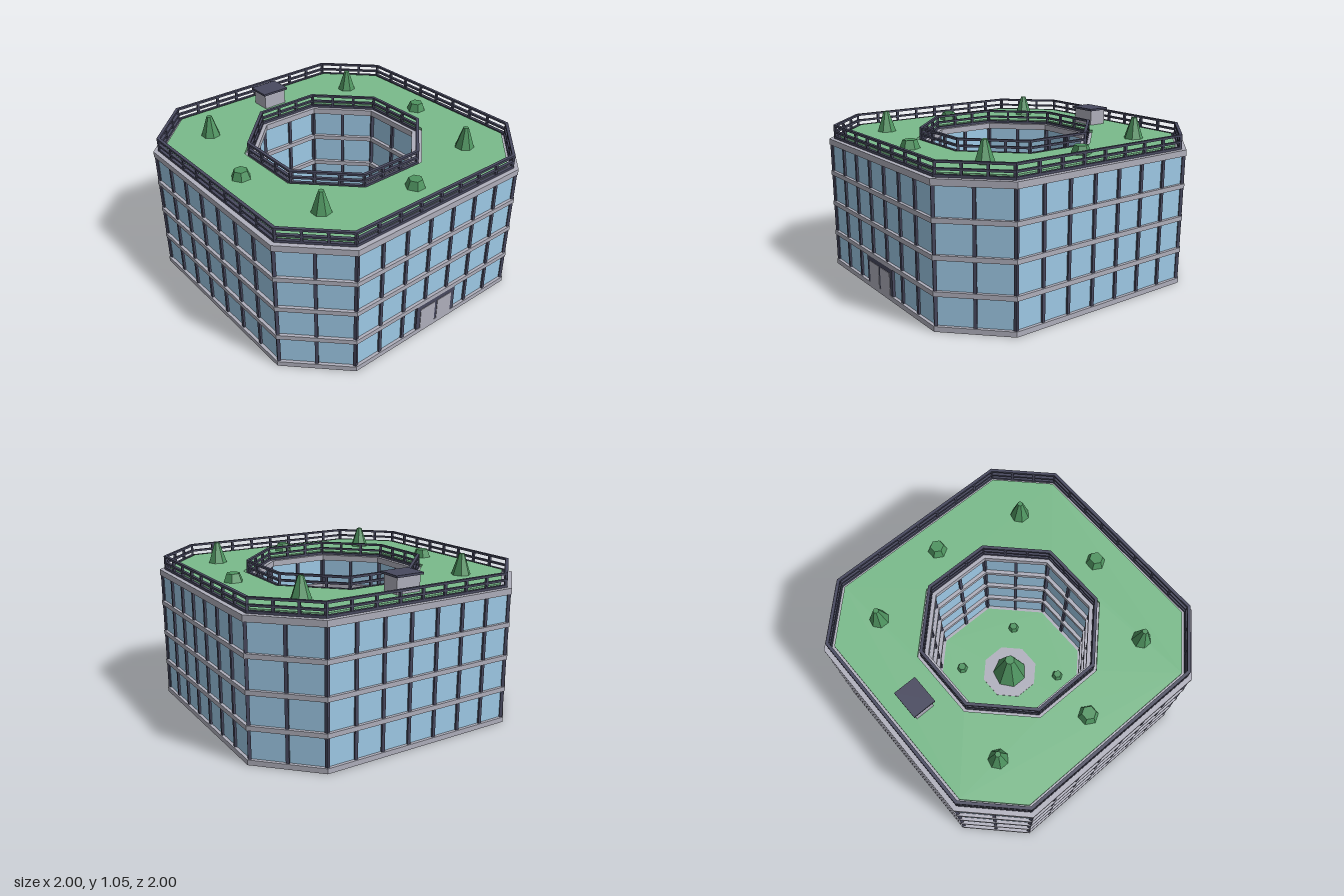
import * as THREE from 'three';
import { mergeGeometries } from 'three/addons/utils/BufferGeometryUtils.js';

const T = Math.tan(Math.PI / 8);
const mat = (name, color, flat = false) => {
  const m = new THREE.MeshStandardMaterial({ color, flatShading: flat });
  m.name = name;
  return m;
};

// Counter-clockwise octagon corners [x, z] for an apothem and half length of the straight sides
const octagon = (a, c) => [[-c, a], [-a, c], [-a, -c], [-c, -a], [c, -a], [a, -c], [a, c], [c, a]];
const outer = (inset) => octagon(1 - inset, 0.665 - inset * T);
const inner = (a) => octagon(a, a * T);
const toVectors = (pts) => pts.map(([x, z]) => new THREE.Vector2(x, z));

// Octagonal slab, or ring when a hole is given, between two heights
function slab(edge, hole, y0, y1) {
  const shape = new THREE.Shape(toVectors(edge));
  if (hole) shape.holes.push(new THREE.Path(toVectors(hole)));
  const g = new THREE.ExtrudeGeometry(shape, { depth: y1 - y0, bevelEnabled: false });
  return g.rotateX(-Math.PI / 2).translate(0, y0, 0);
}

// Upright bars along the sides of an octagon; those on corners face along the bisector
function uprights(pts, counts, y0, y1, width) {
  const bars = [];
  pts.forEach(([x0, z0], k) => {
    const [x1, z1] = pts[(k + 1) % pts.length];
    const n = counts[k % 2];
    for (let i = 0; i < n; i++) {
      const t = i / n;
      const turn = -Math.atan2(z1 - z0, x1 - x0) - (i === 0 ? Math.PI / 8 : 0);
      bars.push(new THREE.BoxGeometry(width, y1 - y0, width)
        .rotateY(turn)
        .translate(x0 + (x1 - x0) * t, (y0 + y1) / 2, z0 + (z1 - z0) * t));
    }
  });
  return mergeGeometries(bars);
}

export function createModel() {
  const model = new THREE.Group();
  model.name = 'officeBuilding';
  const concrete = mat('concrete', 0xb0b0bd);
  const frame = mat('darkFrame', 0x48495f);
  const glass = mat('glass', 0x9fcbe8);
  const grass = mat('grass', 0x7abb8b);
  const leaves = mat('leaves', 0x4f9460, true);

  const add = (name, geometry, material, x = 0, y = 0, z = 0) => {
    const m = new THREE.Mesh(geometry, material);
    m.name = name;
    m.position.set(x, y, z);
    model.add(m);
  };
  const box = (name, w, h, d, material, x, y, z) =>
    add(name, new THREE.BoxGeometry(w, h, d), material, x, y, z);

  // Glass walls around the outside and the courtyard
  add('glassWalls', slab(outer(0.02), inner(0.53), 0.02, 0.87), glass);

  // Floor bands and roof slab
  [[0, 0.033], [0.215, 0.245], [0.43, 0.46], [0.645, 0.675], [0.855, 0.895]].forEach(([y0, y1], i) =>
    add('floorBand' + i, slab(outer(0), inner(0.505), y0, y1), concrete));

  // Window mullions: seven bays on long sides, two on corners and in the courtyard
  add('outerMullions', uprights(outer(0.018), [2, 7], 0.03, 0.86, 0.021), frame);
  add('courtyardMullions', uprights(inner(0.525), [2, 2], 0.03, 0.86, 0.021), frame);

  // Green roof
  add('roofLawn', slab(outer(0.068), inner(0.57), 0.89, 0.914), grass);

  // Railings with a low kerb
  [[0.893, 0.911], [0.934, 0.947], [0.975, 0.989]].forEach(([y0, y1], i) => {
    add('outerRail' + i, slab(outer(0.03), outer(0.05), y0, y1), frame);
    add('courtyardRail' + i, slab(inner(0.55), inner(0.53), y0, y1), frame);
  });
  add('outerRailPosts', uprights(outer(0.04), [3, 8], 0.893, 0.986, 0.016), frame);
  add('courtyardRailPosts', uprights(inner(0.54), [3, 3], 0.893, 0.986, 0.016), frame);

  // Entrance
  box('doorFrame', 0.336, 0.182, 0.03, frame, 0, 0.124, 0.982);
  for (const s of [-1, 1]) box('doorLeaf', 0.125, 0.148, 0.008, concrete, s * 0.073, 0.107, 0.996);

  // Roof access hut
  box('hutWalls', 0.17, 0.12, 0.13, concrete, 0, 0.96, -0.758);
  box('hutRoof', 0.2, 0.014, 0.16, frame, 0, 1.026, -0.758);

  // Courtyard lawn and paved centre
  add('courtyardLawn', slab(inner(0.507), null, -0.001, 0.035), grass);
  add('pavedCentre', slab(inner(0.19), null, 0.02, 0.04), concrete);

  // Trees and shrubs
  const tree = (x, y, z, r, h) =>
    add('tree', new THREE.CylinderGeometry(r * 0.28, r, h, 7).rotateY(Math.PI / 2), leaves, x, y + h / 2, z);
  const shrub = (x, y, z, r, h) =>
    add('shrub', new THREE.CylinderGeometry(r * 0.68, r, h, 6).rotateY(Math.PI / 6), leaves, x, y + h / 2, z);

  for (const sx of [-1, 1]) {
    for (const sz of [-1, 1]) {
      tree(sx * 0.6, 0.912, sz * 0.6, 0.065, 0.14);
      shrub(sx * 0.255, 0.033, sz * 0.255, 0.042, 0.04);
    }
    shrub(sx * 0.75, 0.912, 0, 0.066, 0.056);
  }
  shrub(0, 0.912, 0.75, 0.066, 0.056);
  tree(0, 0.038, 0, 0.125, 0.27);

  return model;
}
